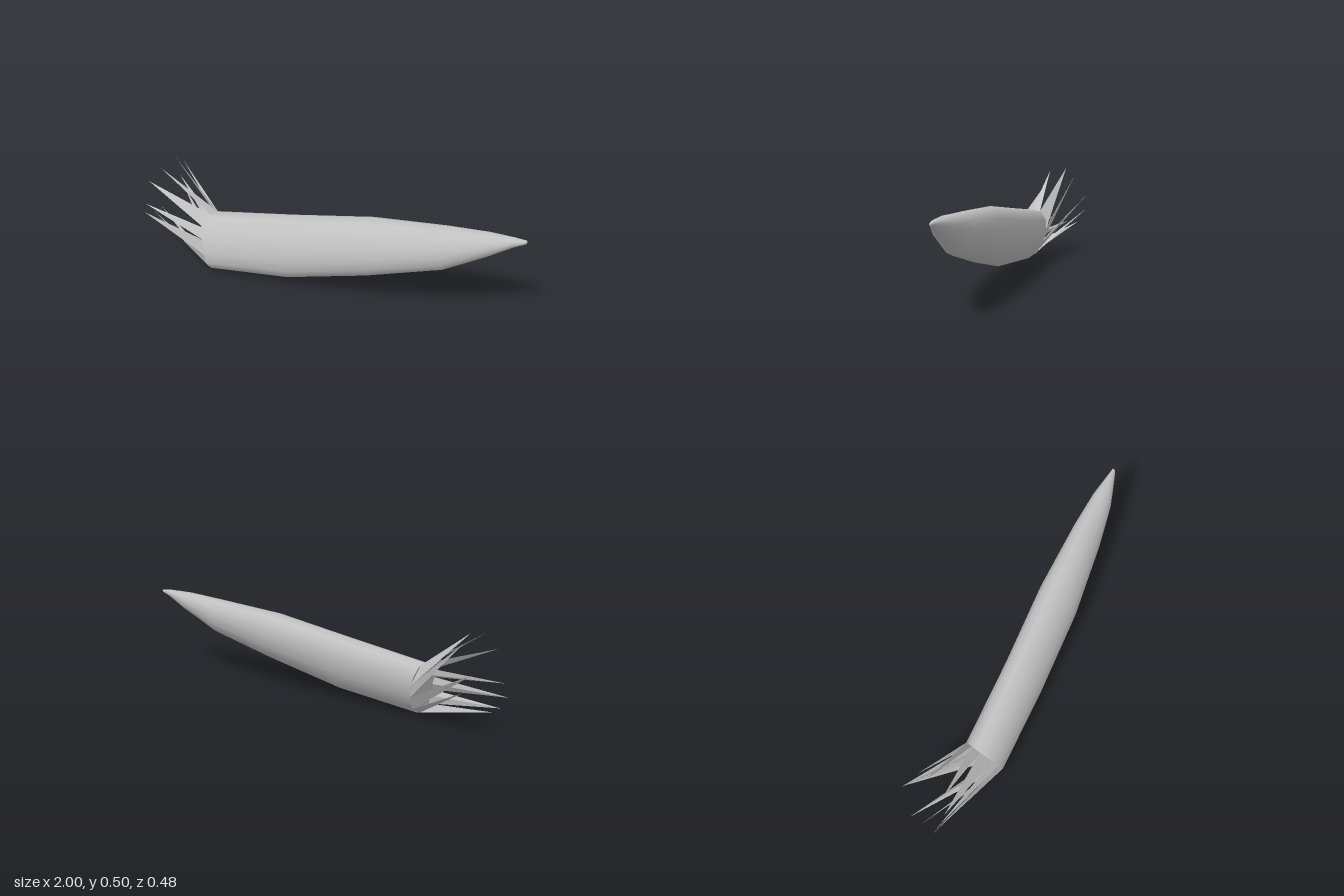
import * as THREE from 'three';

const SIDES = 14;

// Cross-sections along the body: centre x, y, z, half height, half depth
const SECTIONS = [
  [-0.56, 0.145, 0.05, 0.14, 0.094],
  [-0.135, 0.2, 0.1, 0.15, 0.094],
  [0.275, 0.282, 0.137, 0.133, 0.098],
  [0.635, 0.345, 0.165, 0.097, 0.073],
  [0.83, 0.4, 0.18, 0.052, 0.05],
  [0.945, 0.431, 0.186, 0.02, 0.021],
  [0.995, 0.439, 0.187, 0.008, 0.008],
];

// Point on a slanted oval section; angle 0 is the top, 90 degrees the front
function ringPoint([cx, cy, cz, ry, rz], angle) {
  const dy = ry * Math.cos(angle);
  const dz = rz * Math.sin(angle) - 0.27 * dy;
  return new THREE.Vector3(cx - 0.32 * dz - 0.2 * dy, cy + dy, cz + dz);
}

// Smooth tapering skin joining the sections, closed at the tip
function bodyGeometry() {
  const pos = [], index = [];
  SECTIONS.forEach((s, i) => {
    for (let j = 0; j < SIDES; j++) {
      pos.push(...ringPoint(s, (j / SIDES) * Math.PI * 2).toArray());
      if (i === 0) continue;
      const k = (j + 1) % SIDES;
      const a = (i - 1) * SIDES + j, b = (i - 1) * SIDES + k;
      const c = i * SIDES + j, d = i * SIDES + k;
      index.push(a, b, c, b, d, c);
    }
  });
  const last = (SECTIONS.length - 1) * SIDES;
  const tip = pos.length / 3;
  pos.push(1, 0.44, 0.187);
  for (let j = 0; j < SIDES; j++) index.push(last + j, last + ((j + 1) % SIDES), tip);
  const g = new THREE.BufferGeometry();
  g.setAttribute('position', new THREE.Float32BufferAttribute(pos, 3));
  g.setIndex(index);
  g.computeVertexNormals();
  return g;
}

// Unshared triangles, so every face stays flat
function facetGeometry(points) {
  const g = new THREE.BufferGeometry().setFromPoints(points);
  g.computeVertexNormals();
  return g;
}

// Spikes round the open end: root start and end angle in degrees, then tip x, y, z
const SPIKES = [
  [-15, 15, -0.87, 0.477, -0.025],
  [15, 52, -0.93, 0.405, 0],
  [52, 75, -0.98, 0.255, -0.03],
  [75, 105, -1, 0.195, -0.045],
  [105, 140, -0.98, 0.167, -0.12],
  [140, 185, -0.965, 0.167, -0.183],
  [185, 225, -0.845, 0.262, -0.243],
  [225, 260, -0.87, 0.342, -0.243],
  [260, 288, -0.81, 0.46, -0.177],
  [288, 345, -0.83, 0.5, -0.125],
];

export function createModel() {
  const group = new THREE.Group();
  const grey = new THREE.MeshStandardMaterial({ color: 0xc0c0c0, side: THREE.DoubleSide });
  grey.name = 'grey';
  const add = (name, geometry) => {
    const mesh = new THREE.Mesh(geometry, grey);
    mesh.name = name;
    group.add(mesh);
  };

  add('body', bodyGeometry());

  // End face
  const base = SECTIONS[0];
  const centre = new THREE.Vector3(base[0], base[1], base[2]);
  const cap = [];
  for (let j = 0; j < SIDES; j++) {
    const at = (n) => ringPoint(base, (n / SIDES) * Math.PI * 2);
    cap.push(centre, at(j + 1), at(j));
  }
  add('endFace', facetGeometry(cap));

  // Thin three-sided spikes
  SPIKES.forEach(([from, to, x, y, z], i) => {
    const a = ringPoint(base, THREE.MathUtils.degToRad(from));
    const b = ringPoint(base, THREE.MathUtils.degToRad(to));
    const inner = a.clone().lerp(b, 0.5).lerp(centre, 0.15);
    const tip = new THREE.Vector3(x, y, z);
    add(`spike${i + 1}`, facetGeometry([a, tip, b, b, tip, inner, inner, tip, a]));
  });
  return group;
}
